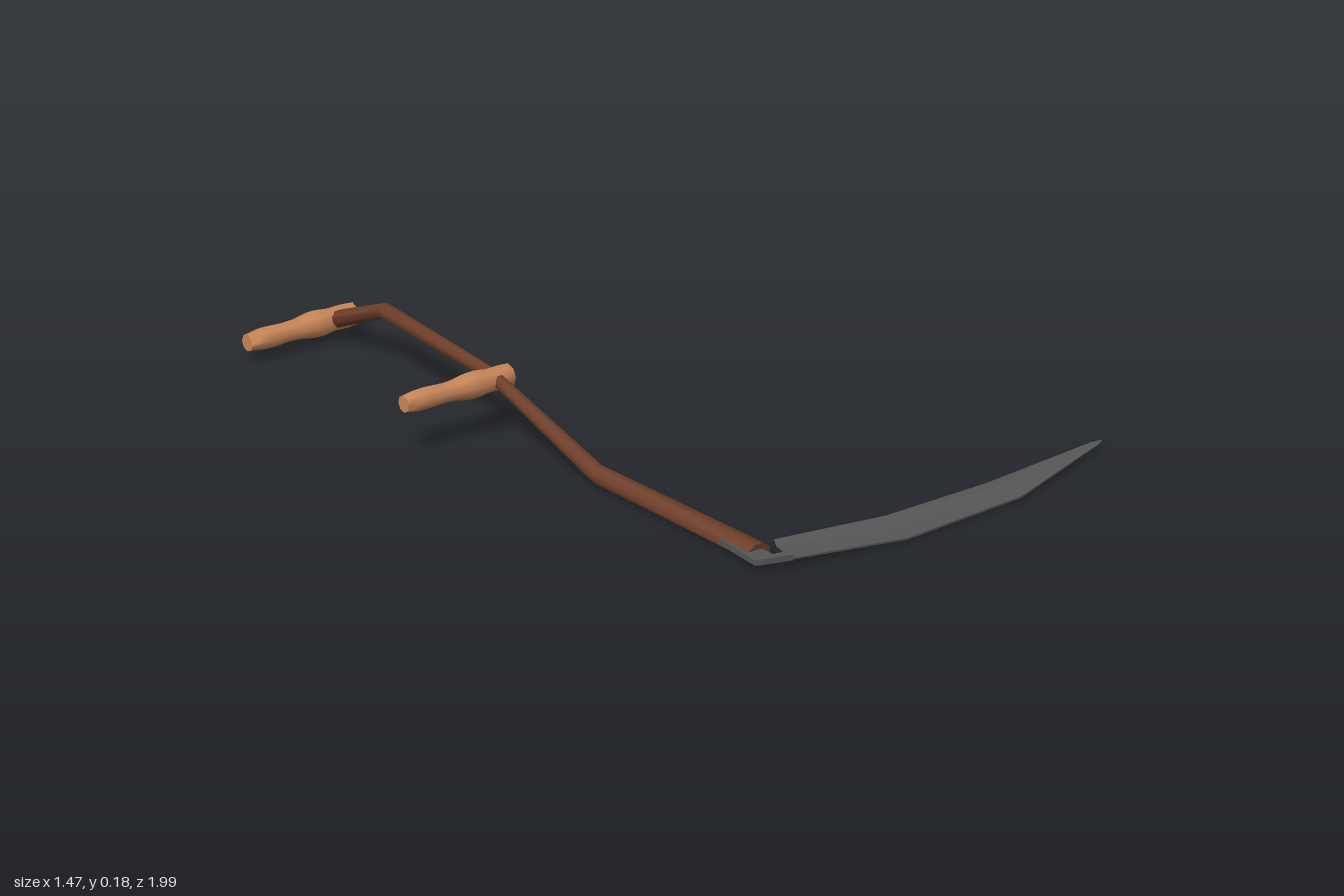
import * as THREE from 'three';
import { toCreasedNormals } from 'three/addons/utils/BufferGeometryUtils.js';

// Skins a list of rings (counter-clockwise about the direction of travel) and caps both ends.
function loft(rings, crease = 0.9) {
  const pos = [];
  const n = rings[0].length;
  const tri = (a, b, c) => pos.push(...a, ...b, ...c);
  for (let r = 0; r < rings.length - 1; r++) {
    for (let j = 0; j < n; j++) {
      const k = (j + 1) % n;
      const a = rings[r][j], b = rings[r][k], c = rings[r + 1][k], d = rings[r + 1][j];
      tri(a, b, c);
      tri(a, c, d);
    }
  }
  const first = rings[0], last = rings[rings.length - 1];
  // cap as strips between the two sides of the ring, so curved sections stay filled
  for (let lo = 0, hi = n - 1; lo < hi; lo++, hi--) {
    if (hi - lo < 2) break;
    tri(first[lo], first[hi], first[lo + 1]);
    tri(last[lo], last[lo + 1], last[hi]);
    if (hi - lo > 2) {
      tri(first[lo + 1], first[hi], first[hi - 1]);
      tri(last[lo + 1], last[hi - 1], last[hi]);
    }
  }
  const g = new THREE.BufferGeometry();
  g.setAttribute('position', new THREE.Float32BufferAttribute(pos, 3));
  return toCreasedNormals(g, crease);
}

export function createModel() {
  const group = new THREE.Group();
  const material = (name, color, side = THREE.FrontSide) =>
    new THREE.MeshStandardMaterial({ name, color, side });
  const darkWood = material('dark wood', 0x6e3f29);
  const lightWood = material('light wood', 0xc98759);
  const steel = material('steel', 0x575757, THREE.DoubleSide);
  const add = (name, geometry, mat) => {
    const mesh = new THREE.Mesh(geometry, mat);
    mesh.name = name;
    group.add(mesh);
    return mesh;
  };

  // Bent shaft, back to front: x, y, z, half width, half height, ring lean in z
  const stations = [
    [-0.422, 0.033, -0.988, 0.033, 0.021, -0.01],
    [-0.43, 0.155, -0.72, 0.023, 0.019, -0.004],
    [-0.459, 0.155, -0.21, 0.017, 0.018, -0.003],
    [-0.449, 0.03, 0.235, 0.025, 0.025, -0.003],
    [-0.42, 0.03, 0.89, 0.035, 0.026, 0],
  ];
  const shaftRings = stations.map(([x, y, z, w, h, lean]) =>
    Array.from({ length: 8 }, (_, j) => {
      const a = ((j + 0.5) / 8) * Math.PI * 2;
      return [x + w * 1.05 * Math.cos(a), y + h * 1.05 * Math.sin(a), z + lean * Math.sin(a)];
    }));
  add('shaft', loft(shaftRings), darkWood);

  // Two turned grips, reaching out to the right of the shaft: radius, distance from the near end
  const gripProfile = [
    [0, 0], [0.031, 0], [0.033, 0.03], [0.032, 0.07], [0.037, 0.11], [0.036, 0.13],
    [0.029, 0.17], [0.027, 0.21], [0.03, 0.265], [0.029, 0.29], [0.023, 0.33], [0, 0.33],
  ].map(([r, d]) => new THREE.Vector2(r, d));
  const gripGeometry = toCreasedNormals(
    new THREE.LatheGeometry(gripProfile, 8, Math.PI / 8).rotateZ(Math.PI / 2), 0.9);
  [
    ['middleGrip', -0.412, 0.147, -0.207, -0.27],
    ['endGrip', -0.37, 0.056, -0.943, 0.42],
  ].forEach(([name, x, y, z, tilt]) => {
    const grip = add(name, gripGeometry, lightWood);
    grip.position.set(x, y, z);
    grip.rotation.x = -tilt;
  });

  // Curved blade, heel to tip: inner x, z, y and outer x, z, y
  const bladeStations = [
    [-0.345, 0.85, 0.036, -0.37, 0.965, 0.03],
    [-0.01, 0.87, 0.026, -0.03, 0.995, 0.012],
    [0.33, 0.845, 0.026, 0.36, 0.945, 0.013],
    [0.7, 0.779, 0.024, 0.71, 0.795, 0.02],
    [0.73, 0.778, 0.022, 0.732, 0.782, 0.021],
  ];
  // Shallow trough: fraction across the blade and its drop
  const trough = [[0, 0], [0.13, 0.012], [0.4, 0.009], [0.75, 0.004], [1, 0]];
  const bladeRings = bladeStations.map(([xi, zi, yi, xo, zo, yo]) => {
    const s = Math.min(1, (zo - zi) / 0.1);
    const edge = (under) => trough.map(([t, drop]) => [
      xi + (xo - xi) * t,
      yi + (yo - yi) * t - drop * s - under * (0.002 + 0.003 * t * s),
      zi + (zo - zi) * t,
    ]);
    return [...edge(0), ...edge(1).reverse()];
  });
  add('blade', loft(bladeRings, 0.7), steel);

  // Hooked tang joining the blade heel to the shaft
  const outline = [
    [-0.46, 0.77], [-0.47, 0.94], [-0.455, 0.948], [-0.37, 0.968],
    [-0.355, 0.942], [-0.41, 0.934], [-0.412, 0.88], [-0.435, 0.77],
  ].map(([x, z]) => new THREE.Vector2(x, -z));
  const tang = new THREE.ExtrudeGeometry(new THREE.Shape(outline), { depth: 0.016, bevelEnabled: false });
  tang.rotateX(-Math.PI / 2).translate(0, 0.024, 0);
  add('tang', tang, steel);

  return group;
}
